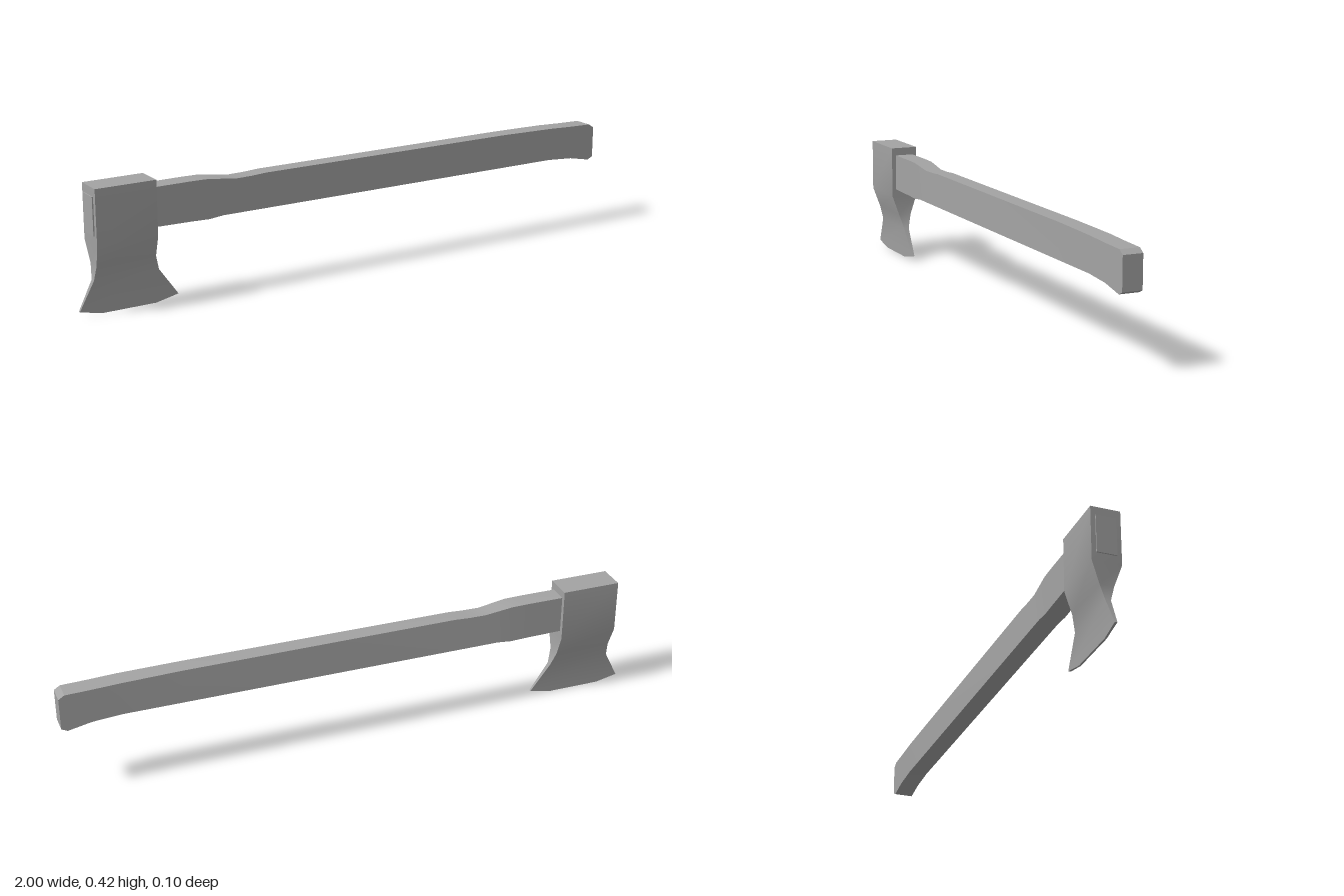
import * as THREE from 'three';
import { toCreasedNormals } from 'three/addons/utils/BufferGeometryUtils.js';

// Skin a row of four-cornered rings, closed at both ends
function loft(rings, crease) {
  const pos = [];
  const quad = (a, b, c, d) => pos.push(...a, ...b, ...c, ...a, ...c, ...d);
  for (let i = 0; i < rings.length - 1; i++) {
    const a = rings[i], b = rings[i + 1];
    for (let j = 0; j < 4; j++) {
      const k = (j + 1) % 4;
      quad(a[j], a[k], b[k], b[j]);
    }
  }
  const s = rings[0], e = rings[rings.length - 1];
  quad(s[3], s[2], s[1], s[0]);
  quad(e[0], e[1], e[2], e[3]);
  const g = new THREE.BufferGeometry();
  g.setAttribute('position', new THREE.Float32BufferAttribute(pos, 3));
  return toCreasedNormals(g, crease);
}

export function createModel() {
  const grey = new THREE.MeshStandardMaterial({ color: 0xa3a3a3 });
  grey.name = 'grey';
  const group = new THREE.Group();
  group.name = 'axe';
  const add = (name, geometry) => {
    const mesh = new THREE.Mesh(geometry, grey);
    mesh.name = name;
    group.add(mesh);
  };

  // Head: y, left x, right x, half thickness, from cutting edge to poll
  const head = [
    [0.003, -0.925, -0.74, 0.003],
    [0.02, -1.0, -0.662, 0.004],
    [0.115, -0.951, -0.73, 0.009],
    [0.165, -0.946, -0.745, 0.023],
    [0.237, -0.952, -0.747, 0.048],
    [0.418, -0.952, -0.747, 0.048],
  ].map(([y, l, r, h]) => [[l, y, h], [r, y, h], [r, y, -h], [l, y, -h]]);
  add('axeHead', loft(head, 0.5));

  // Handle: x, bottom y, top y, half width at bottom, half width at top
  const handle = [
    [-0.956, 0.265, 0.39, 0.033, 0.033],
    [-0.62, 0.26, 0.391, 0.033, 0.033],
    [-0.56, 0.258, 0.39, 0.033, 0.033],
    [-0.51, 0.263, 0.383, 0.033, 0.031],
    [-0.46, 0.263, 0.376, 0.033, 0.029],
    [-0.4, 0.263, 0.377, 0.033, 0.029],
    [-0.35, 0.263, 0.38, 0.033, 0.029],
    [0.6, 0.263, 0.38, 0.033, 0.031],
    [0.8, 0.263, 0.377, 0.033, 0.033],
    [0.9, 0.256, 0.373, 0.033, 0.033],
    [0.98, 0.24, 0.371, 0.033, 0.033],
    [1.0, 0.25, 0.358, 0.033, 0.033],
  ].map(([x, b, t, hb, ht]) => [[x, b, -hb], [x, t, -ht], [x, t, ht], [x, b, hb]]);
  add('handle', loft(handle, 0.4));

  return group;
}
